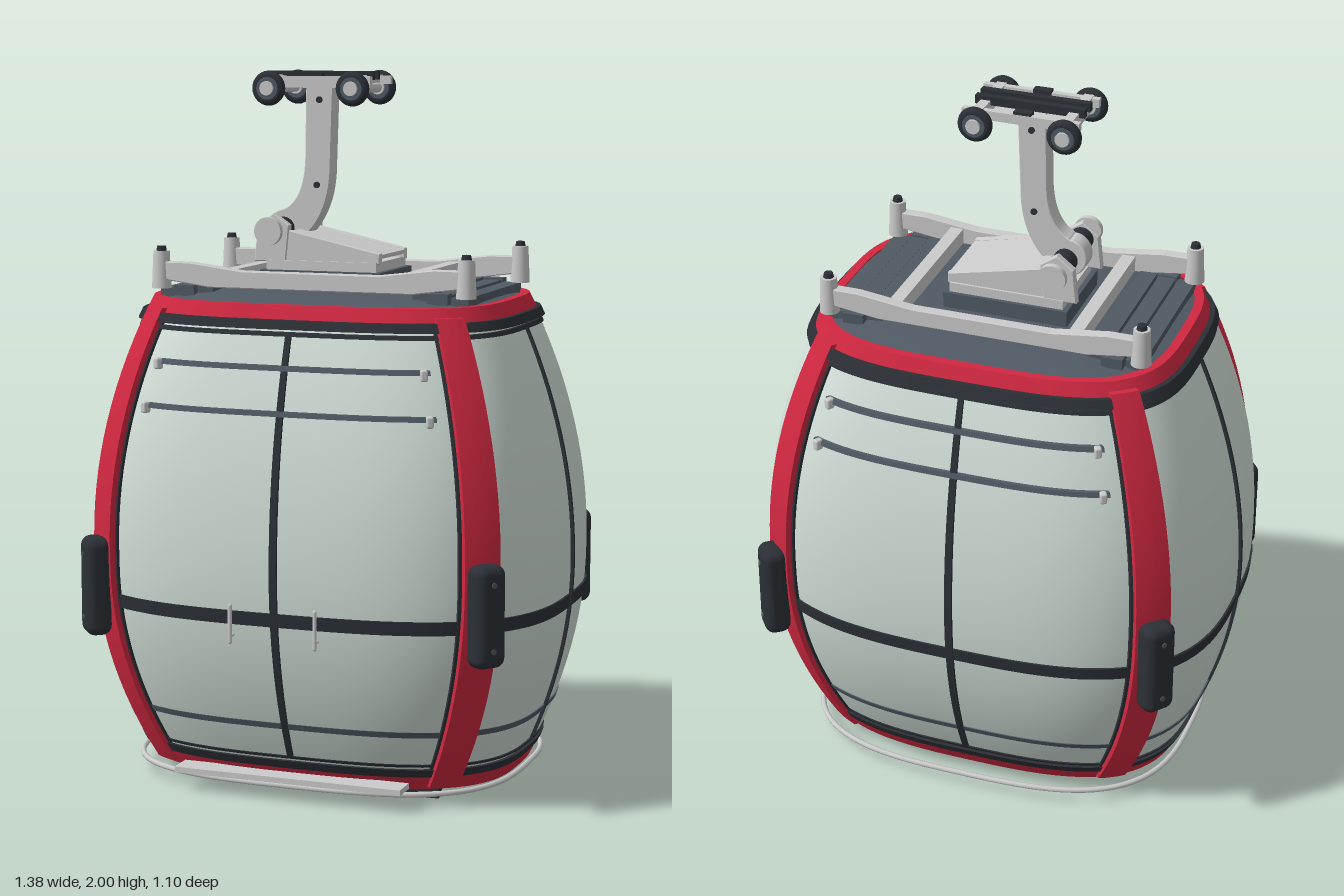
import * as THREE from 'three';
import { RoundedBoxGeometry } from 'three/addons/geometries/RoundedBoxGeometry.js';

const mat = (color) => new THREE.MeshStandardMaterial({ color });
const PI = Math.PI;

// Rounded-rectangle radius at a polar angle
const ovalRadius = (phi, a, b, n = 3) =>
  Math.pow(Math.pow(Math.abs(Math.cos(phi)) / a, n) + Math.pow(Math.abs(Math.sin(phi)) / b, n), -1 / n);

// Point on the bulging cabin skin, pushed outward by off
function skin(phi, y, off = 0, scale = 1) {
  const d = (y - 0.65) ** 2;
  const a = 0.683 - d * (y > 0.65 ? 0.34 : 0.41);
  const b = 0.54 - d * (y > 0.65 ? 0.29 : 0.45);
  const r = (ovalRadius(phi, a, b, y > 0.65 ? 3 + (y - 0.65) * 0.6 : 3) + off) * scale;
  return new THREE.Vector3(r * Math.cos(phi), y, -r * Math.sin(phi));
}

// Box bent onto the skin: angle range, height range, offset range
function patch(p0, p1, y0, y1, o0, o1, np, ny) {
  const g = new THREE.BoxGeometry(1, 1, 1, np, ny, 1);
  const pos = g.attributes.position;
  const mix = THREE.MathUtils.lerp;
  for (let i = 0; i < pos.count; i++) {
    const p = skin(mix(p0, p1, pos.getX(i) + 0.5), mix(y0, y1, pos.getY(i) + 0.5), mix(o0, o1, pos.getZ(i) + 0.5));
    pos.setXYZ(i, p.x, p.y, p.z);
  }
  g.computeVertexNormals();
  return g;
}

// Domed lid filling the skin outline; dir 1 faces up, -1 down
function lid(y, dome, dir) {
  const g = new THREE.RingGeometry(0.001, 1, 72, 8);
  const pos = g.attributes.position;
  for (let i = 0; i < pos.count; i++) {
    const x = pos.getX(i), z = pos.getY(i), rho = Math.hypot(x, z);
    const p = skin(Math.atan2(z * dir, x), y, -0.012, rho);
    pos.setXYZ(i, p.x, y + dir * dome * (1 - rho ** 4), p.z);
  }
  g.computeVertexNormals();
  return g;
}

// Profile in x,y extruded along z about its centre
function slab(shape, depth) {
  const s = Array.isArray(shape) ? new THREE.Shape(shape.map(([x, y]) => new THREE.Vector2(x, y))) : shape;
  const g = new THREE.ExtrudeGeometry(s, { depth, bevelEnabled: true, bevelSize: 0.003, bevelThickness: 0.003, bevelSegments: 1, curveSegments: 14 });
  return g.translate(0, 0, -depth / 2);
}

export function createModel() {
  const model = new THREE.Group();
  const glass = mat(0xd3e0d9), red = mat(0xd02840), dark = mat(0x2c3036), slate = mat(0x505a64), metal = mat(0xcccccc);
  const add = (name, geo, material, x = 0, y = 0, z = 0, parent = model) => {
    const m = new THREE.Mesh(geo, material);
    m.name = name;
    m.position.set(x, y, z);
    parent.add(m);
    return m;
  };
  const box = (name, w, h, d, material, x, y, z) => add(name, new THREE.BoxGeometry(w, h, d), material, x, y, z);
  const rodZ = (name, r, len, material, x, y, z) =>
    add(name, new THREE.CylinderGeometry(r, r, len, 24).rotateX(PI / 2), material, x, y, z);
  const ring = (name, y0, y1, off, material) =>
    add(name, patch(PI / 2, PI * 2.5, y0, y1, -0.02, off, 120, 2), material);

  // Cabin shell, roof and floor
  add('windowShell', patch(PI / 2, PI * 2.5, 0.05, 1.34, -0.015, 0, 120, 30), glass);
  add('roof', lid(1.365, 0.035, 1), slate);
  add('floor', lid(0.05, 0.035, -1), dark);

  // Rings round the cabin
  ring('topRim', 1.335, 1.375, 0.006, red);
  ring('upperSeal', 1.312, 1.337, 0.02, dark);
  ring('upperSealLip', 1.293, 1.305, 0.008, dark);
  ring('beltBand', 0.512, 0.55, 0.006, dark);
  ring('lowerBand', 0.207, 0.224, 0.004, slate);
  ring('lowerSealLip', 0.113, 0.121, 0.006, dark);
  ring('lowerSeal', 0.082, 0.106, 0.012, dark);
  ring('bottomRim', 0.042, 0.084, 0.008, red);

  // Centre mullions on all four sides
  for (let i = 0; i < 4; i++) {
    const c = i * PI / 2, w = i % 2 ? 0.019 : 0.009;
    add('mullion', patch(c - w, c + w, 0.115, 1.3, -0.01, 0.009, 2, 28), dark);
  }

  // Corner posts with gaskets and bumper pads
  for (const c of [0.665, PI - 0.665, PI + 0.665, -0.665]) {
    add('postGasket', patch(c - 0.082, c + 0.082, 0.09, 1.33, -0.01, 0.007, 4, 28), dark);
    add('cornerPost', patch(c - 0.07, c + 0.07, 0.05, 1.35, -0.01, 0.022, 4, 28), red);
    const pad = new THREE.Group();
    pad.name = 'bumper';
    pad.position.copy(skin(c, 0.57, 0.04));
    pad.rotation.y = c + PI / 2;
    model.add(pad);
    add('bumperPad', new RoundedBoxGeometry(0.095, 0.28, 0.075, 4, 0.028), dark, 0, 0, 0, pad);
    for (const y of [-0.09, 0.09])
      add('bumperBolt', new THREE.CylinderGeometry(0.008, 0.008, 0.004, 12).rotateX(PI / 2), slate, 0, y, 0.038, pad);
  }

  // Guard bars with end brackets on front and back windows
  for (const side of [PI / 2, -PI / 2]) {
    for (const y of [1.21, 1.09]) {
      add('guardBar', patch(side - 0.77, side + 0.77, y - 0.007, y + 0.007, -0.002, 0.012, 40, 1), slate);
      for (const s of [-1, 1]) {
        const p = skin(side + s * 0.74, y - 0.006, 0.012);
        add('barBracket', new RoundedBoxGeometry(0.02, 0.032, 0.024, 2, 0.006), metal, p.x, p.y, p.z).rotation.y = s * 0.5;
      }
    }
  }

  // Door handles
  for (const x of [-0.125, 0.122]) {
    add('doorHandle', new THREE.CapsuleGeometry(0.006, 0.1, 4, 10), metal, x, 0.515, 0.548);
    for (const y of [0.48, 0.55]) rodZ('handleMount', 0.004, 0.025, metal, x, y, 0.536);
  }

  // Bottom guard hoop, door sill and skids
  const hoop = Array.from({ length: 48 }, (_, i) => {
    const p = i * PI / 24, r = ovalRadius(p, 0.56, 0.45);
    return new THREE.Vector3(r * Math.cos(p), 0.045, r * Math.sin(p));
  });
  add('guardHoop', new THREE.TubeGeometry(new THREE.CatmullRomCurve3(hoop, true), 120, 0.008, 8, true), metal);
  box('doorSill', 0.67, 0.016, 0.075, metal, 0, 0.06, 0.42);
  for (const z of [-0.26, 0.26]) box('skid', 0.77, 0.035, 0.035, dark, 0, 0.0175, z);

  // Roof slats
  for (const s of [-1, 1])
    [0.32, 0.375, 0.43].forEach((x, i) => box('roofSlat', 0.05, 0.03, 0.5, slate, s * x, 1.393 - i * 0.006, 0));

  // Roof frame: side rails, cross beams, corner posts
  const railProfile = [[-0.45, 1.425], [-0.3, 1.405], [0.3, 1.405], [0.45, 1.425], [0.45, 1.468], [0.36, 1.468],
    [0.2, 1.448], [-0.2, 1.448], [-0.36, 1.468], [-0.45, 1.468]];
  for (const z of [-0.255, 0.255]) {
    add('roofRail', slab(railProfile, 0.026), metal, 0, 0, z);
    for (const x of [-0.45, 0.45]) {
      add('framePost', new THREE.CylinderGeometry(0.023, 0.028, 0.105, 24), metal, x, 1.448, z);
      add('framePostCap', new THREE.CylinderGeometry(0.012, 0.015, 0.014, 16), dark, x, 1.507, z);
      box('frameFoot', 0.06, 0.03, 0.04, slate, x * 0.83, 1.392, z);
    }
  }
  for (const x of [-0.26, 0.26]) box('crossBeam', 0.038, 0.045, 0.54, metal, x, 1.428, 0);

  // Hanger base with sloping cheeks and pivot
  box('hangerBase', 0.36, 0.05, 0.27, slate, -0.02, 1.42, 0);
  box('hangerPlate', 0.33, 0.028, 0.25, metal, -0.02, 1.458, 0);
  for (const z of [-0.11, 0.11]) {
    add('pivotBracket', slab([[-0.22, 1.47], [-0.21, 1.565], [-0.165, 1.6], [-0.12, 1.57], [-0.13, 1.47]], 0.018), metal, 0, 0, z);
    add('hangerCheek', slab([[-0.13, 1.47], [-0.125, 1.555], [0.15, 1.495], [0.15, 1.47]], 0.014), metal, 0, 0, z * 0.98);
    rodZ('pivotCap', 0.04, 0.018, metal, -0.165, 1.555, z * 1.43);
    rodZ('pivotRubber', 0.034, 0.07, dark, -0.165, 1.555, z * 0.7);
  }
  rodZ('pivotShaft', 0.022, 0.33, metal, -0.165, 1.555, 0);
  add('slopePlate', new THREE.BoxGeometry(0.28, 0.012, 0.2), metal, 0.015, 1.518, 0).rotation.z = -0.22;

  // Curved hanger arm
  const arm = new THREE.Shape();
  arm.moveTo(-0.098, 1.97);
  arm.lineTo(-0.102, 1.75);
  arm.quadraticCurveTo(-0.108, 1.63, -0.175, 1.605);
  arm.absarc(-0.165, 1.555, 0.052, PI * 0.55, PI * 1.65);
  arm.quadraticCurveTo(-0.03, 1.58, -0.03, 1.74);
  arm.lineTo(-0.022, 1.97);
  add('hangerArm', slab(arm, 0.05), metal);
  for (const [x, y] of [[-0.06, 1.92], [-0.068, 1.68]]) rodZ('armBolt', 0.009, 0.068, dark, x, y, 0);

  // Grip carriage with four rollers
  for (const z of [-0.022, 0.022]) box('gripBar', 0.31, 0.024, 0.02, dark, -0.055, 1.988, z);
  for (const z of [-0.085, 0.085]) {
    box('carriageBeam', 0.33, 0.024, 0.018, metal, -0.05, 1.975, z);
    box('carriageClamp', 0.05, 0.03, 0.026, dark, -0.055, 1.98, z * 0.93);
  }
  box('carriagePlate', 0.2, 0.016, 0.16, metal, -0.055, 1.962, 0);
  for (const x of [-0.18, 0.07]) {
    rodZ('axle', 0.014, 0.25, metal, x, 1.953, 0);
    box('axleBeam', 0.028, 0.022, 0.2, metal, x, 1.978, 0);
    for (const s of [-1, 1]) {
      add('rollerTyre', new THREE.TorusGeometry(0.034, 0.015, 12, 28), dark, x, 1.953, s * 0.113);
      rodZ('rollerRim', 0.032, 0.03, slate, x, 1.953, s * 0.113);
      rodZ('rollerHub', 0.02, 0.044, metal, x, 1.953, s * 0.113);
    }
  }
  return model;
}
